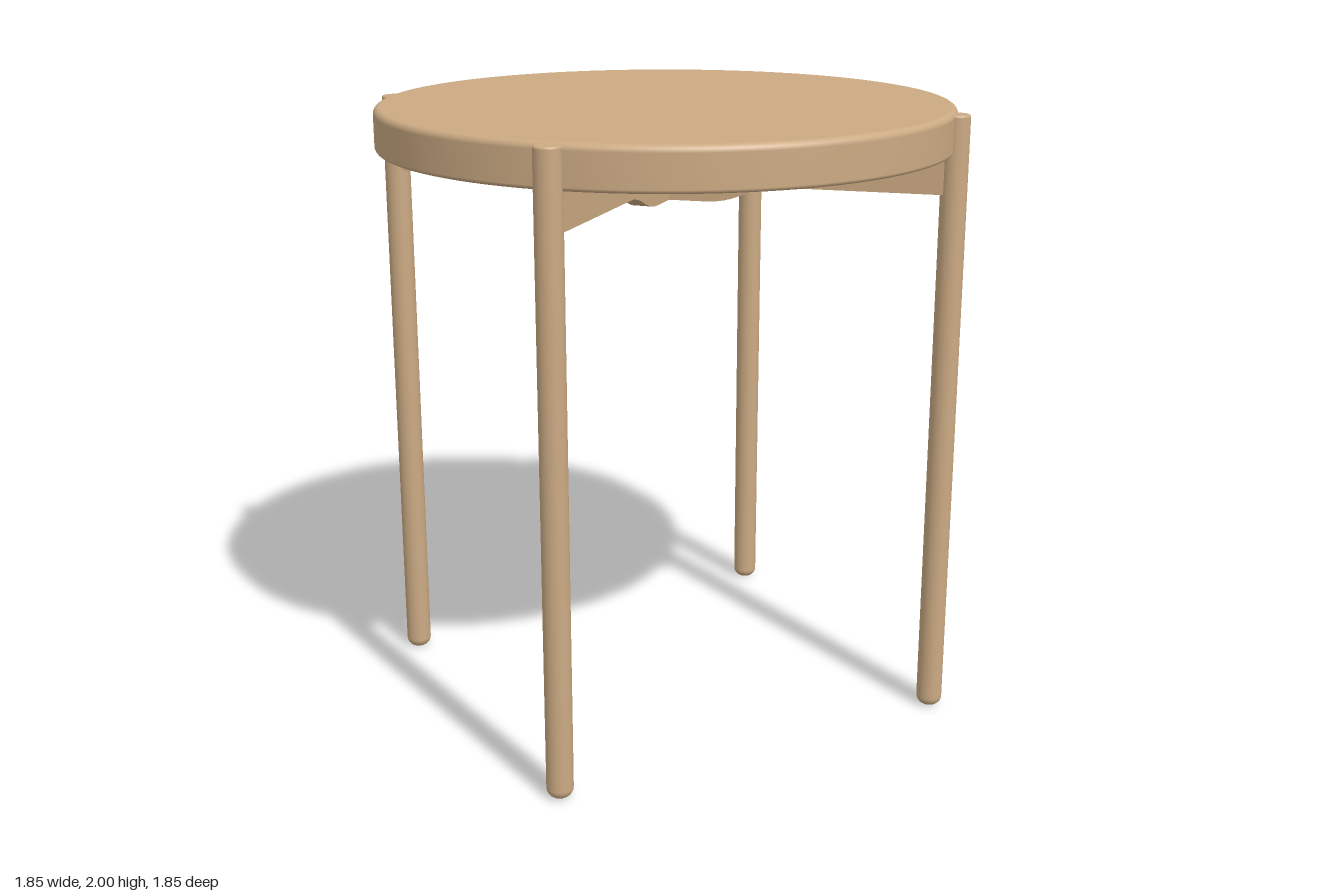
import * as THREE from 'three';

export function createModel() {
  const model = new THREE.Group();
  const wood = new THREE.MeshStandardMaterial({ color: 0xcbaa83 });
  wood.name = 'lightWood';

  const add = (name, geometry) => {
    const mesh = new THREE.Mesh(geometry, wood);
    mesh.name = name;
    model.add(mesh);
    return mesh;
  };

  // Turned solid whose two rims are rounded off
  const roundedDisc = (radius, bottom, top, lowBevel, highBevel, segments) => {
    const pts = [new THREE.Vector2(0, bottom)];
    const arc = (bevel, y, from) => {
      for (let i = 0; i <= 6; i++) {
        const a = from + (i / 6) * Math.PI / 2;
        pts.push(new THREE.Vector2(radius - bevel + bevel * Math.cos(a), y + bevel * Math.sin(a)));
      }
    };
    arc(lowBevel, bottom + lowBevel, -Math.PI / 2);
    arc(highBevel, top - highBevel, 0);
    pts.push(new THREE.Vector2(0, top));
    return new THREE.LatheGeometry(pts, segments);
  };

  // Round top
  add('tableTop', roundedDisc(0.925, 1.865, 2, 0.012, 0.022, 128));

  // Legs set into the rim, listed as opposite pairs
  const pairs = [
    [['backRightLeg', -0.68, -0.627], ['frontLeftLeg', 0.658, 0.655]],
    [['frontRightLeg', -0.704, 0.6], ['backLeftLeg', 0.7, -0.6]],
  ];
  const legGeometry = roundedDisc(0.042, 0, 1.992, 0.032, 0.008, 32);

  // Crossing rail: straight underside with a deeper curved belly at the middle
  const railGeometry = (length) => {
    const h = length / 2;
    const s = new THREE.Shape();
    s.moveTo(-h, 1.87);
    s.lineTo(-h, 1.745);
    s.lineTo(-0.36, 1.745);
    s.bezierCurveTo(-0.27, 1.735, -0.25, 1.69, -0.14, 1.69);
    s.lineTo(0.14, 1.69);
    s.bezierCurveTo(0.25, 1.69, 0.27, 1.735, 0.36, 1.745);
    s.lineTo(h, 1.745);
    s.lineTo(h, 1.87);
    s.closePath();
    const g = new THREE.ExtrudeGeometry(s, { depth: 0.06, bevelEnabled: false, curveSegments: 12 });
    return g.translate(0, 0, -0.03);
  };

  pairs.forEach(([a, b], i) => {
    for (const [name, x, z] of [a, b]) add(name, legGeometry).position.set(x, 0, z);
    const dx = b[1] - a[1];
    const dz = b[2] - a[2];
    const rail = add(`crossRail${i + 1}`, railGeometry(Math.hypot(dx, dz)));
    rail.position.set((a[1] + b[1]) / 2, 0, (a[2] + b[2]) / 2);
    rail.rotation.y = -Math.atan2(dz, dx);
  });

  return model;
}
